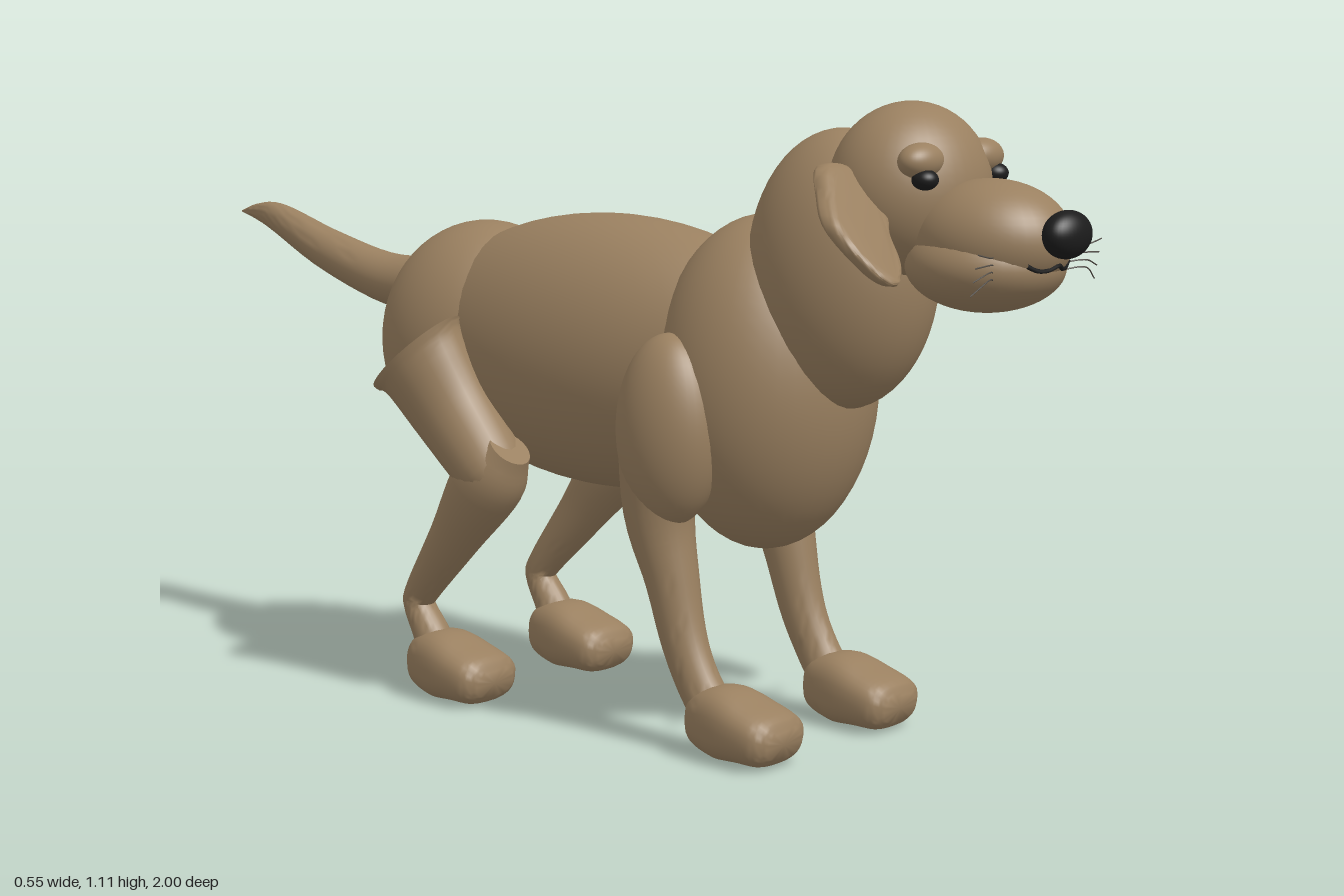
import * as THREE from 'three';
import { toCreasedNormals } from 'three/addons/utils/BufferGeometryUtils.js';

const coat = new THREE.MeshStandardMaterial({ color: 0x9a8060 });
coat.name = 'brown coat';
const black = new THREE.MeshStandardMaterial({ color: 0x1c1c1c });
black.name = 'black';
const grey = new THREE.MeshStandardMaterial({ color: 0x55504a });
grey.name = 'whisker grey';

// Rounded solid through rings [x, y, z, halfWidth, halfDepth]; power below 1 squares the section.
function loft(rings, power = 1, steps = 24, sides = 28) {
  const path = new THREE.CatmullRomCurve3(rings.map(r => new THREE.Vector3(r[0], r[1], r[2])), false, 'catmullrom', 0.5);
  const size = new THREE.CatmullRomCurve3(rings.map(r => new THREE.Vector3(r[3], r[4], 0)), false, 'catmullrom', 0.5);
  const pos = [], index = [];
  const bend = v => Math.sign(v) * Math.abs(v) ** power;
  for (let i = 0; i <= steps; i++) {
    const c = path.getPoint(i / steps), r = size.getPoint(i / steps);
    const t = path.getTangent(i / steps);
    const n = t.clone().cross(new THREE.Vector3(1, 0, 0)).normalize();
    const side = n.clone().cross(t);
    for (let j = 0; j < sides; j++) {
      const a = (j / sides) * Math.PI * 2;
      const p = c.clone().addScaledVector(side, r.x * bend(Math.cos(a))).addScaledVector(n, r.y * bend(Math.sin(a)));
      pos.push(p.x, p.y, p.z);
      if (i < steps) {
        const k = i * sides, m = (j + 1) % sides;
        index.push(k + j, k + m, k + sides + m, k + j, k + sides + m, k + sides + j);
      }
    }
  }
  // End caps
  const start = pos.length / 3, last = steps * sides;
  for (const t of [0, 1]) pos.push(...path.getPoint(t).toArray());
  for (let j = 0; j < sides; j++) {
    const m = (j + 1) % sides;
    index.push(start, m, j, start + 1, last + j, last + m);
  }
  const geo = new THREE.BufferGeometry();
  geo.setAttribute('position', new THREE.Float32BufferAttribute(pos, 3));
  geo.setIndex(index);
  return toCreasedNormals(geo, 0.9);
}

export function createModel() {
  const dog = new THREE.Group();
  dog.name = 'dog';

  const add = (name, geo, mat = coat) => {
    const mesh = new THREE.Mesh(geo, mat);
    mesh.name = name;
    dog.add(mesh);
    return mesh;
  };
  const ball = (name, center, radii, mat = coat) => {
    const mesh = add(name, new THREE.SphereGeometry(1, 40, 28), mat);
    mesh.position.set(...center);
    mesh.scale.set(...radii);
    return mesh;
  };
  const strand = (name, points, radius, mat) => {
    const curve = new THREE.CatmullRomCurve3(points.map(p => new THREE.Vector3(...p)));
    return add(name, new THREE.TubeGeometry(curve, 20, radius, 6), mat);
  };

  // Body masses
  ball('chest', [0, 0.63, 0.37], [0.2, 0.29, 0.19]);
  ball('torso', [0, 0.655, 0.03], [0.2, 0.245, 0.45]);
  ball('rump', [0, 0.65, -0.285], [0.185, 0.22, 0.207]);
  ball('neck', [0, 0.835, 0.53], [0.145, 0.237, 0.17]);

  // Head
  ball('skull', [0, 0.975, 0.665], [0.148, 0.146, 0.13]);
  ball('muzzle', [0, 0.905, 0.825], [0.115, 0.097, 0.138]);
  ball('jaw', [0, 0.862, 0.815], [0.128, 0.077, 0.132]);
  ball('nose', [0, 0.92, 0.968], [0.055, 0.039, 0.032], black);

  // Mouth line wrapped round the muzzle front
  const lip = [[-0.06, 0.872], [-0.04, 0.863], [-0.02, 0.863], [0, 0.87], [0.02, 0.863], [0.04, 0.863], [0.06, 0.872]];
  strand('mouth', lip.map(([x, y]) => {
    const upper = 0.825 + 0.138 * Math.sqrt(1 - (x / 0.115) ** 2 - ((y - 0.905) / 0.097) ** 2);
    const lower = 0.815 + 0.132 * Math.sqrt(1 - (x / 0.128) ** 2 - ((y - 0.862) / 0.077) ** 2);
    return [x, y, Math.max(upper, lower)];
  }), 0.004, black);

  // Tail tapering to one side
  add('tail', loft([
    [0, 0.735, -0.42, 0.062, 0.058], [0, 0.745, -0.55, 0.05, 0.048], [0.012, 0.787, -0.72, 0.04, 0.04],
    [0.03, 0.835, -0.87, 0.026, 0.03], [0.038, 0.845, -0.94, 0.014, 0.018], [0.045, 0.843, -1, 0.002, 0.002],
  ]));

  for (const s of [-1, 1]) {
    const side = s > 0 ? 'left' : 'right';
    const mirror = rings => rings.map(([x, ...rest]) => [x * s, ...rest]);

    // Face
    ball(side + 'Brow', [0.085 * s, 1.03, 0.745], [0.048, 0.03, 0.032]);
    ball(side + 'Eye', [0.1 * s, 1.002, 0.764], [0.022, 0.017, 0.022], black);
    for (let i = 0; i < 4; i++) {
      const y = 0.89 - i * 0.012;
      strand(side + 'Whisker', [[0.09 * s, y - 0.005, 0.89], [0.14 * s, y, 0.915],
        [0.18 * s, y + 0.008 - i * 0.01, 0.92 - i * 0.004]], 0.0012, grey);
    }

    // Ear flap, slanted forward as it hangs
    const outline = [[0.12, 1.0], [0.15, 1.015], [0.192, 1.01], [0.23, 0.975], [0.264, 0.93], [0.248, 0.875],
      [0.225, 0.853], [0.198, 0.863], [0.175, 0.885], [0.158, 0.92], [0.13, 0.95]];
    const ear = new THREE.Shape();
    ear.setFromPoints(new THREE.SplineCurve([...outline, outline[0]].map(([x, y]) => new THREE.Vector2(x * s, y))).getPoints(48).slice(0, -1));
    const earGeo = new THREE.ExtrudeGeometry(ear, { depth: 0.012, bevelEnabled: true, bevelThickness: 0.012, bevelSize: 0.01, bevelSegments: 4 });
    const p = earGeo.attributes.position;
    for (let i = 0; i < p.count; i++) p.setZ(i, p.getZ(i) + 0.62 + (1.02 - p.getY(i)) * 0.9);
    add(side + 'Ear', toCreasedNormals(earGeo, 0.9));

    // Front leg
    ball(side + 'Shoulder', [0.175 * s, 0.56, 0.3], [0.082, 0.165, 0.1]);
    add(side + 'FrontLeg', loft(mirror([
      [0.175, 0.58, 0.28, 0.07, 0.08], [0.168, 0.42, 0.27, 0.06, 0.064], [0.166, 0.3, 0.298, 0.046, 0.048],
      [0.167, 0.2, 0.325, 0.038, 0.042], [0.168, 0.13, 0.358, 0.036, 0.04], [0.166, 0.07, 0.4, 0.04, 0.04],
    ])));

    // Hind leg: flared thigh, shank and hock
    add(side + 'Thigh', loft(mirror([
      [0.185, 0.4, -0.08, 0.03, 0.03], [0.185, 0.44, -0.1, 0.064, 0.062], [0.185, 0.54, -0.195, 0.07, 0.08],
      [0.195, 0.62, -0.255, 0.075, 0.095], [0.2, 0.645, -0.275, 0.076, 0.113],
    ])));
    add(side + 'Shank', loft(mirror([
      [0.185, 0.49, -0.06, 0.04, 0.04], [0.185, 0.43, -0.11, 0.063, 0.068], [0.177, 0.31, -0.205, 0.046, 0.048],
      [0.168, 0.2, -0.295, 0.032, 0.032], [0.167, 0.17, -0.305, 0.03, 0.028],
      [0.167, 0.12, -0.275, 0.034, 0.034], [0.166, 0.07, -0.25, 0.04, 0.04],
    ]), 1, 36));

    // Paws, squarer at the toes
    for (const [name, dz] of [['FrontPaw', 0], ['HindPaw', -0.66]]) {
      add(side + name, loft(mirror([
        [0.166, 0.07, 0.345, 0.012, 0.012], [0.166, 0.07, 0.365, 0.045, 0.045], [0.166, 0.071, 0.42, 0.064, 0.062],
        [0.166, 0.062, 0.48, 0.072, 0.052], [0.166, 0.053, 0.525, 0.07, 0.042], [0.166, 0.05, 0.543, 0.048, 0.024],
      ].map(r => [r[0], r[1], r[2] + dz, r[3], r[4]])), 0.75));
    }
  }
  return dog;
}
